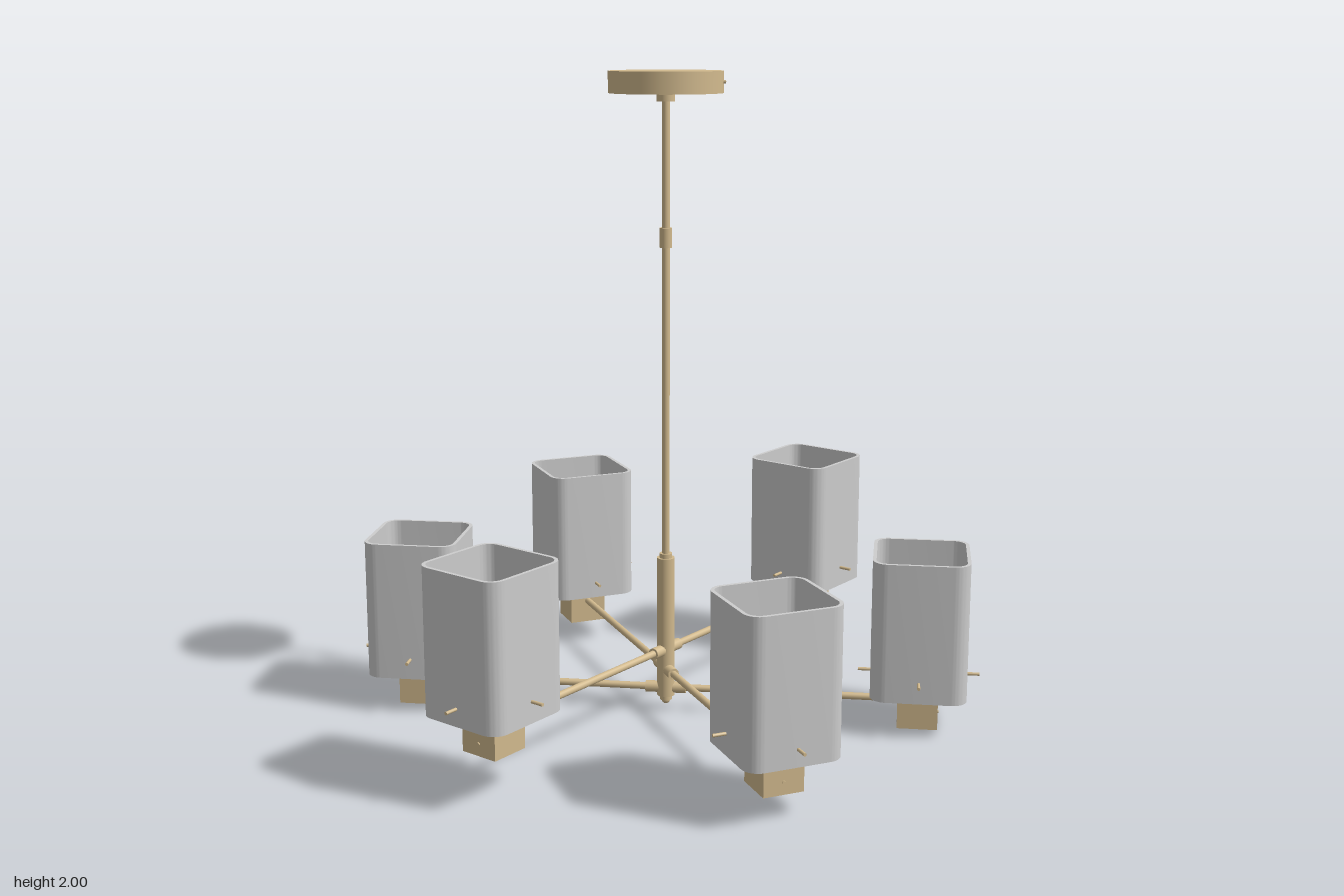
import * as THREE from 'three';
import { toCreasedNormals } from 'three/addons/utils/BufferGeometryUtils.js';

const brass = new THREE.MeshStandardMaterial({ color: 0xd2ba8e });
brass.name = 'brass';
const glass = new THREE.MeshStandardMaterial({ color: 0xcdcdcd, side: THREE.DoubleSide });
glass.name = 'frosted glass';

function add(parent, name, geometry, material, x = 0, y = 0, z = 0) {
  const mesh = new THREE.Mesh(geometry, material);
  mesh.name = name;
  mesh.position.set(x, y, z);
  parent.add(mesh);
  return mesh;
}

// Upright cylinder between two heights
function post(parent, name, radius, y0, y1, sides = 24) {
  return add(parent, name, new THREE.CylinderGeometry(radius, radius, y1 - y0, sides), brass, 0, (y0 + y1) / 2, 0);
}

// Horizontal rod along x, between x0 and x1
function rodX(parent, name, radius, x0, x1, y, sides = 16) {
  const g = new THREE.CylinderGeometry(radius, radius, x1 - x0, sides).rotateZ(Math.PI / 2);
  return add(parent, name, g, brass, (x0 + x1) / 2, y, 0);
}

// Adds a rounded square outline to a shape or hole path
function roundedSquare(path, half, r) {
  const c = half - r;
  path.moveTo(half, -c);
  path.lineTo(half, c);
  path.absarc(c, c, r, 0, Math.PI / 2);
  path.lineTo(-c, half);
  path.absarc(-c, c, r, Math.PI / 2, Math.PI);
  path.lineTo(-half, -c);
  path.absarc(-c, -c, r, Math.PI, Math.PI * 1.5);
  path.lineTo(c, -half);
  path.absarc(c, -c, r, Math.PI * 1.5, Math.PI * 2);
  return path;
}

// Open square glass tube with rounded corners
function shadeGeometry(height) {
  const shape = roundedSquare(new THREE.Shape(), 0.147, 0.048);
  shape.holes.push(roundedSquare(new THREE.Path(), 0.136, 0.037));
  const g = new THREE.ExtrudeGeometry(shape, { depth: height, bevelEnabled: false, curveSegments: 8 });
  g.rotateX(-Math.PI / 2);
  return toCreasedNormals(g, 0.6);
}

// Globe bulb with a narrow neck
function bulbGeometry() {
  const points = [[0.001, 0], [0.024, 0], [0.026, 0.04], [0.04, 0.07], [0.056, 0.095], [0.063, 0.125],
    [0.059, 0.148], [0.045, 0.169], [0.024, 0.183], [0, 0.188]].map(([x, y]) => new THREE.Vector2(x, y));
  return new THREE.LatheGeometry(points, 28);
}

export function createModel() {
  const model = new THREE.Group();
  model.name = 'chandelier';

  // Ceiling canopy with its collar and side screws
  const canopy = new THREE.Group();
  canopy.name = 'canopy';
  model.add(canopy);
  post(canopy, 'canopyPlate', 0.172, 1.935, 2, 64);
  post(canopy, 'canopyCollar', 0.028, 1.91, 1.935);
  rodX(canopy, 'canopyScrew', 0.006, 0.168, 0.179, 1.968, 10);

  // Hanging rod and central hub
  post(model, 'rod', 0.012, 0.5, 1.915);
  post(model, 'rodCoupling', 0.019, 1.475, 1.535);
  post(model, 'hub', 0.028, 0.05, 0.503);
  post(model, 'hubCap', 0.02, 0.503, 0.517);
  post(model, 'hubFoot', 0.019, 0.035, 0.05);
  add(model, 'finial', new THREE.SphereGeometry(0.014, 16, 10), brass, 0, 0.034, 0);

  // Six lamps, opposite pairs stepped in height
  const shade = shadeGeometry(0.437);
  const bulb = bulbGeometry();
  const reach = 0.792;
  const steps = [0, 0.0635, 0.127];
  for (let i = 0; i < 6; i++) {
    const lamp = new THREE.Group();
    lamp.name = 'lampArm' + (i + 1);
    lamp.rotation.y = -i * Math.PI / 3;
    lamp.position.y = steps[i % 3];
    model.add(lamp);

    // Arm with its fitting at the hub
    rodX(lamp, 'arm', 0.011, 0.02, reach - 0.05, 0.075);
    rodX(lamp, 'armFitting', 0.018, 0.02, 0.064, 0.075);

    // Square holder with a small screw on the outer face
    add(lamp, 'holder', new THREE.BoxGeometry(0.124, 0.122, 0.124), brass, reach, 0.061, 0);
    rodX(lamp, 'holderScrew', 0.005, reach + 0.06, reach + 0.066, 0.037, 10);

    // Socket and bulb
    const socket = post(lamp, 'socket', 0.034, 0.122, 0.19);
    socket.position.x = reach;
    add(lamp, 'bulb', bulb, glass, reach, 0.18, 0);

    // Shade and the crossed pins that carry it
    add(lamp, 'shade', shade, glass, reach, 0.114, 0);
    rodX(lamp, 'pinAlong', 0.005, reach - 0.187, reach + 0.187, 0.166, 10);
    const across = rodX(lamp, 'pinAcross', 0.005, reach - 0.187, reach + 0.187, 0.178, 10);
    across.rotation.y = Math.PI / 2;
  }
  return model;
}
